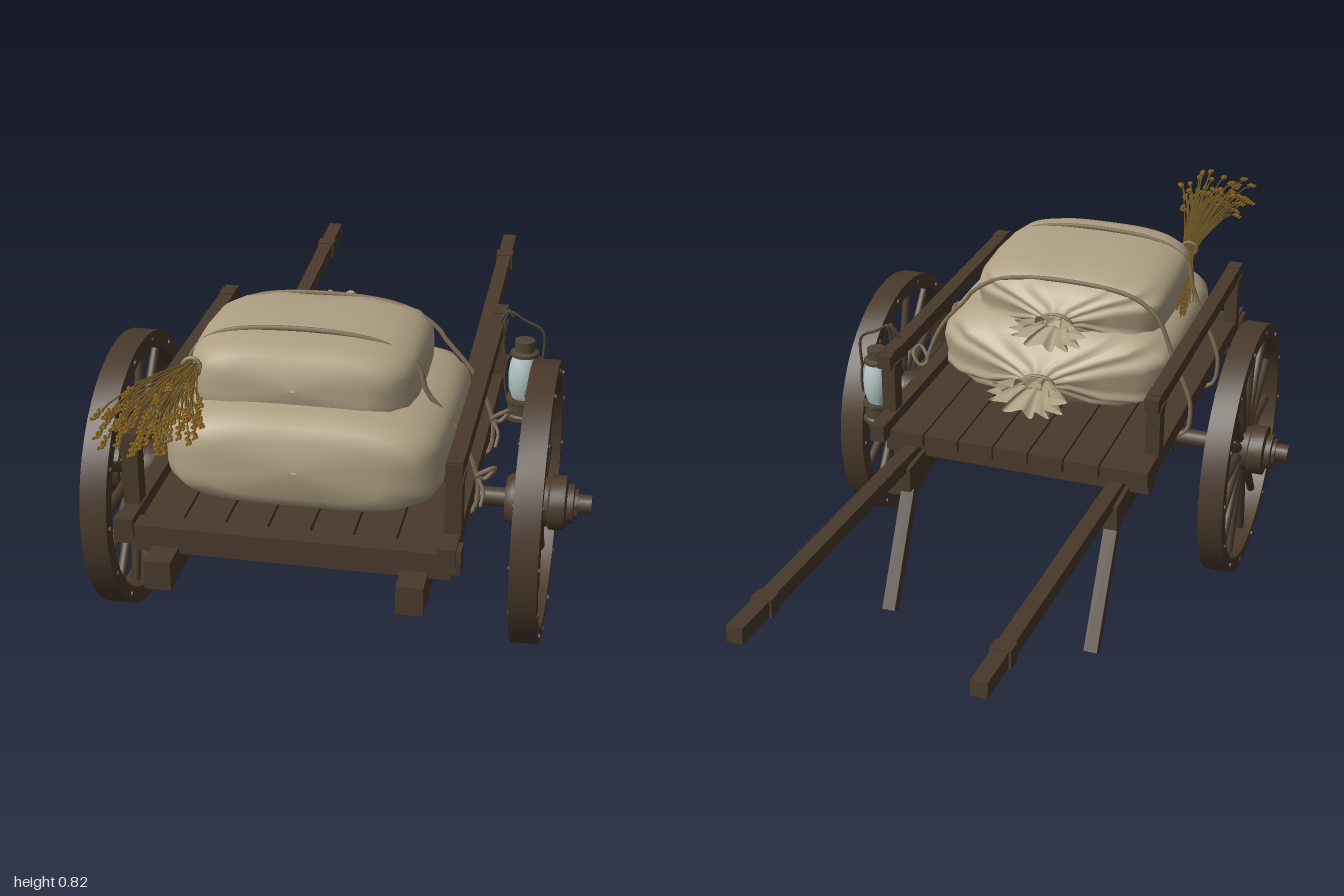
import * as THREE from 'three';
import { mergeGeometries, toCreasedNormals } from 'three/addons/utils/BufferGeometryUtils.js';

const mat = (name, color, side = THREE.FrontSide) => {
  const m = new THREE.MeshStandardMaterial({ color, side });
  m.name = name;
  return m;
};
const V = (x, y, z) => new THREE.Vector3(x, y, z);

export function createModel() {
  const root = new THREE.Group();
  root.name = 'handcart';
  const wood = mat('dark wood', 0x4a3a2c);
  const metal = mat('lantern metal', 0x4f4335);
  const cloth = mat('sackcloth', 0xb0a184, THREE.DoubleSide);
  const ropeMat = mat('rope', 0x85735a);
  const glass = mat('lantern glass', 0xb4c6c4);
  const straw = mat('straw', 0x7a5f2a);
  const grain = mat('grain', 0x8a6420);

  const add = (name, geo, m, parent = root) => {
    const mesh = new THREE.Mesh(geo, m);
    mesh.name = name;
    parent.add(mesh);
    return mesh;
  };
  const box = (name, w, h, d, x, y, z, parent = root) => {
    const mesh = add(name, new THREE.BoxGeometry(w, h, d), wood, parent);
    mesh.position.set(x, y, z);
    return mesh;
  };
  // Square timber running from point a to point b
  const bar = (name, a, b, w, t) => {
    const mesh = add(name, new THREE.BoxGeometry(w, t, a.distanceTo(b)), wood);
    mesh.position.copy(a).lerp(b, 0.5);
    mesh.lookAt(b);
    return mesh;
  };
  const tube = (pts, r, seg = 24, sides = 6, closed = false) =>
    new THREE.TubeGeometry(new THREE.CatmullRomCurve3(pts, closed, 'centripetal'), seg, r, sides, closed);
  const lathe = (pts, seg) =>
    toCreasedNormals(new THREE.LatheGeometry(pts.map(p => new THREE.Vector2(...p)), seg), 0.6);

  // Bed: planks, end board and cross bearers
  for (let i = 0; i < 7; i++) box('deckPlank', 0.084, 0.035, 0.885, (i - 3) * 0.0886, 0.432, 0.3275);
  box('frontBoard', 0.71, 0.044, 0.045, 0, 0.432, 0.79);
  for (const z of [0.745, 0.315, -0.05]) box('crossBearer', 0.67, 0.04, 0.06, 0, 0.394, z);

  // Side frames, shafts and legs
  for (const s of [-1, 1]) {
    box('sideSill', 0.035, 0.042, 0.965, s * 0.33, 0.449, 0.338);
    box('sillEnd', 0.045, 0.05, 0.04, s * 0.335, 0.437, 0.79);
    box('topRail', 0.034, 0.034, 0.84, s * 0.333, 0.61, 0.338);
    for (const z of [0.735, -0.04]) {
      box('railPost', 0.034, 0.17, 0.04, s * 0.333, 0.545, z);
      box('postCap', 0.04, 0.012, 0.046, s * 0.333, 0.592, z);
    }
    box('chassisBeam', 0.056, 0.064, 1.02, s * 0.26, 0.356, 0.33);
    box('axleBlock', 0.076, 0.04, 0.09, s * 0.26, 0.32, 0.315);
    bar('shaft', V(s * 0.26, 0.378, 0.05), V(s * 0.26, 0.453, -1), 0.036, 0.036);
    bar('shaftCuff', V(s * 0.26, 0.442, -0.85), V(s * 0.26, 0.4446, -0.885), 0.046, 0.042);
    bar('propLeg', V(s * 0.26, 0.36, -0.085), V(s * 0.26, 0.03, -0.265), 0.033, 0.03);
  }

  // Axle
  const axle = add('axle', new THREE.CylinderGeometry(0.022, 0.022, 1.18, 16).rotateZ(Math.PI / 2), wood);
  axle.position.set(0, 0.322, 0.315);

  // Wheels, turned on the x axis
  const rimGeo = lathe([[0.283, -0.03], [0.32, -0.03], [0.32, 0.03], [0.283, 0.03], [0.283, -0.03]], 48);
  const hubGeo = lathe([[0, -0.07], [0.05, -0.07], [0.06, -0.055], [0.062, -0.03], [0.056, -0.026], [0.056, 0.026],
    [0.062, 0.03], [0.062, 0.064], [0.045, 0.068], [0.045, 0.082], [0.034, 0.084], [0.034, 0.092], [0, 0.092]], 24);
  for (const s of [-1, 1]) {
    const wheel = new THREE.Group();
    wheel.name = s > 0 ? 'leftWheel' : 'rightWheel';
    wheel.position.set(s * 0.468, 0.32, 0.315);
    wheel.rotation.z = -s * Math.PI / 2;
    add('rim', rimGeo, wood, wheel);
    add('hub', hubGeo, wood, wheel);
    const spokes = [], studs = [];
    for (let i = 0; i < 14; i++) {
      const a = (i + 0.5) / 14 * Math.PI * 2;
      spokes.push(new THREE.CylinderGeometry(0.0105, 0.014, 0.24, 8).rotateZ(-Math.PI / 2)
        .translate(0.168, 0, 0).rotateY(a));
      studs.push(new THREE.CylinderGeometry(0.006, 0.006, 0.068, 6).translate(0.301, 0, 0).rotateY(a));
    }
    add('spokes', mergeGeometries(spokes), wood, wheel);
    add('rimStuds', mergeGeometries(studs), wood, wheel);
    root.add(wheel);
  }

  // Sacks lofted from cross-sections: [z, half width, bottom, top, fold depth]
  const sack = (name, cx, stations) => {
    const n = 72, pos = [], idx = [];
    const pw = (v, e) => Math.sign(v) * Math.abs(v) ** e;
    stations.forEach(([z, hw, y0, y1, fold = 0], i) => {
      for (let j = 0; j < n; j++) {
        const a = j / n * Math.PI * 2, c = Math.cos(a), s = Math.sin(a);
        const k = 1 + fold * Math.sin(a * 11 + Math.sin(a * 3));
        const e = fold > 0.1 ? 1 : s < 0 ? 0.5 : 0.66;
        pos.push(cx + hw * k * pw(c, e), (y0 + y1) / 2 + (y1 - y0) / 2 * k * pw(s, e), z);
        if (i) {
          const p = (i - 1) * n + j, q = (i - 1) * n + (j + 1) % n;
          idx.push(p, p + n, q, q, p + n, q + n);
        }
      }
    });
    const g = new THREE.BufferGeometry();
    g.setAttribute('position', new THREE.Float32BufferAttribute(pos, 3));
    g.setIndex(idx);
    g.computeVertexNormals();
    add(name, g, cloth);
  };
  sack('lowerSack', 0, [[0.715, 0.005, 0.55, 0.555], [0.71, 0.18, 0.49, 0.62], [0.693, 0.25, 0.465, 0.643],
    [0.65, 0.285, 0.453, 0.66], [0.58, 0.3, 0.45, 0.665], [0.4, 0.305, 0.45, 0.665], [0.25, 0.303, 0.45, 0.66],
    [0.2, 0.285, 0.452, 0.645, 0.02], [0.165, 0.235, 0.457, 0.62, 0.05], [0.14, 0.15, 0.47, 0.59, 0.09],
    [0.12, 0.075, 0.495, 0.56, 0.12], [0.1, 0.04, 0.51, 0.545, 0.14], [0.085, 0.04, 0.51, 0.545, 0.14],
    [0.05, 0.06, 0.5, 0.56, 0.2], [0.005, 0.085, 0.485, 0.57, 0.25]]);
  sack('upperSack', -0.02, [[0.625, 0.005, 0.69, 0.695], [0.62, 0.15, 0.64, 0.74], [0.605, 0.2, 0.615, 0.76],
    [0.565, 0.233, 0.6, 0.772], [0.5, 0.245, 0.598, 0.776], [0.4, 0.248, 0.598, 0.776], [0.3, 0.245, 0.598, 0.77],
    [0.25, 0.232, 0.6, 0.757, 0.02], [0.22, 0.195, 0.61, 0.742, 0.05], [0.2, 0.13, 0.625, 0.72, 0.09],
    [0.185, 0.07, 0.64, 0.695, 0.12], [0.17, 0.035, 0.65, 0.68, 0.14], [0.155, 0.035, 0.65, 0.68, 0.14],
    [0.13, 0.055, 0.64, 0.69, 0.2], [0.095, 0.08, 0.625, 0.7, 0.25]]);
  for (const [x, y, z] of [[0, 0.5275, 0.092], [-0.02, 0.665, 0.162]]) {
    const tie = add('sackTie', new THREE.TorusGeometry(0.039, 0.006, 6, 24), ropeMat);
    tie.scale.y = 0.55;
    tie.position.set(x, y, z);
  }

  // Lashing ropes around the bed and load, with a loose knot on the left
  for (const [z, top] of [[0.505, 0.781], [0.225, 0.75]]) {
    const pts = [[-0.3, 0.366], [-0.345, 0.39], [-0.353, 0.43], [-0.35, 0.475], [-0.306, 0.58], [-0.275, 0.66],
      [-0.262, top - 0.065], [-0.2, top - 0.02], [-0.02, top], [0.15, top - 0.02], [0.222, top - 0.065],
      [0.24, 0.66], [0.306, 0.58], [0.35, 0.475], [0.353, 0.43], [0.345, 0.39], [0.3, 0.366]];
    add('lashingRope', tube(pts.map(p => V(p[0], p[1], z)), 0.0055, 80, 6, true), ropeMat);
    add('ropeKnot', tube([V(0.35, 0.47, z), V(0.378, 0.5, z + 0.02), V(0.388, 0.49, z - 0.005),
      V(0.365, 0.46, z - 0.012)], 0.005, 20, 6, true), ropeMat);
    add('ropeTail', tube([V(0.352, 0.47, z), V(0.366, 0.44, z + 0.01), V(0.362, 0.41, z + 0.02)], 0.004, 10), ropeMat);
  }

  // Lantern hung from the left rail
  const lantern = new THREE.Group();
  lantern.name = 'lantern';
  lantern.position.set(0.402, 0, 0.03);
  root.add(lantern);
  add('lanternBase', lathe([[0, 0.39], [0.041, 0.39], [0.041, 0.4], [0.036, 0.404], [0.036, 0.43], [0.041, 0.434],
    [0.041, 0.442], [0, 0.442]], 20), metal, lantern);
  add('lanternGlass', lathe([[0.027, 0.442], [0.035, 0.465], [0.037, 0.5], [0.033, 0.53], [0.025, 0.552]], 20), glass, lantern);
  add('lanternCap', lathe([[0, 0.55], [0.033, 0.55], [0.033, 0.558], [0.024, 0.562], [0.024, 0.587], [0, 0.59]], 20), metal, lantern);
  for (const s of [-1, 1]) {
    add('lanternSideWire', tube([V(s * 0.038, 0.435, 0), V(s * 0.045, 0.48, 0), V(s * 0.042, 0.53, 0),
      V(s * 0.03, 0.555, 0)], 0.003, 12), metal, lantern);
  }
  add('lanternBail', tube([V(-0.042, 0.53, 0), V(-0.052, 0.585, 0), V(-0.04, 0.655, 0), V(0, 0.635, 0),
    V(0.04, 0.612, 0), V(0.042, 0.53, 0)], 0.0035, 30), metal, lantern);
  add('lanternHook', tube([V(-0.065, 0.615, 0), V(-0.055, 0.64, 0), V(-0.04, 0.658, 0), V(-0.03, 0.645, 0)], 0.004, 16), metal, lantern);

  // Sheaf of grain laid on the load
  let seed = 7;
  const rnd = () => (seed = (seed * 16807) % 2147483647) / 2147483647;
  const stalks = [], grains = [];
  for (let i = 0; i < 60; i++) {
    const a = rnd() * Math.PI * 2, r = Math.sqrt(rnd()), c = Math.cos(a) * r, s = Math.sin(a) * r;
    const end = V(-0.235 + c * 0.105, 0.768 + s * 0.05, 0.98 - rnd() * 0.13 - r * 0.03);
    const curve = new THREE.CatmullRomCurve3([
      V(-0.278 + c * 0.018, 0.645 + s * 0.022, 0.36 + rnd() * 0.12), V(-0.24 + c * 0.016, 0.718 + s * 0.016, 0.6),
      V(-0.237 + c * 0.06, 0.757 + s * 0.032, 0.77), end,
      V(end.x + c * 0.015, end.y - 0.012 + s * 0.01, end.z + 0.03)]);
    stalks.push(new THREE.TubeGeometry(curve, 10, 0.0022, 3));
    for (let k = 0; k < 10; k++) {
      const p = curve.getPoint(0.8 + k * 0.022), t = k * 2.4;
      grains.push(new THREE.OctahedronGeometry(0.0048).scale(0.8, 0.8, 1.7)
        .translate(p.x + Math.cos(t) * 0.0035, p.y + Math.sin(t) * 0.0035, p.z));
    }
  }
  add('sheafStalks', mergeGeometries(stalks), straw);
  add('sheafGrains', mergeGeometries(grains), grain);
  const band = add('sheafBand', new THREE.TorusGeometry(0.019, 0.005, 6, 18), ropeMat);
  band.position.set(-0.24, 0.718, 0.6);
  band.rotation.x = -0.25;

  return root;
}
